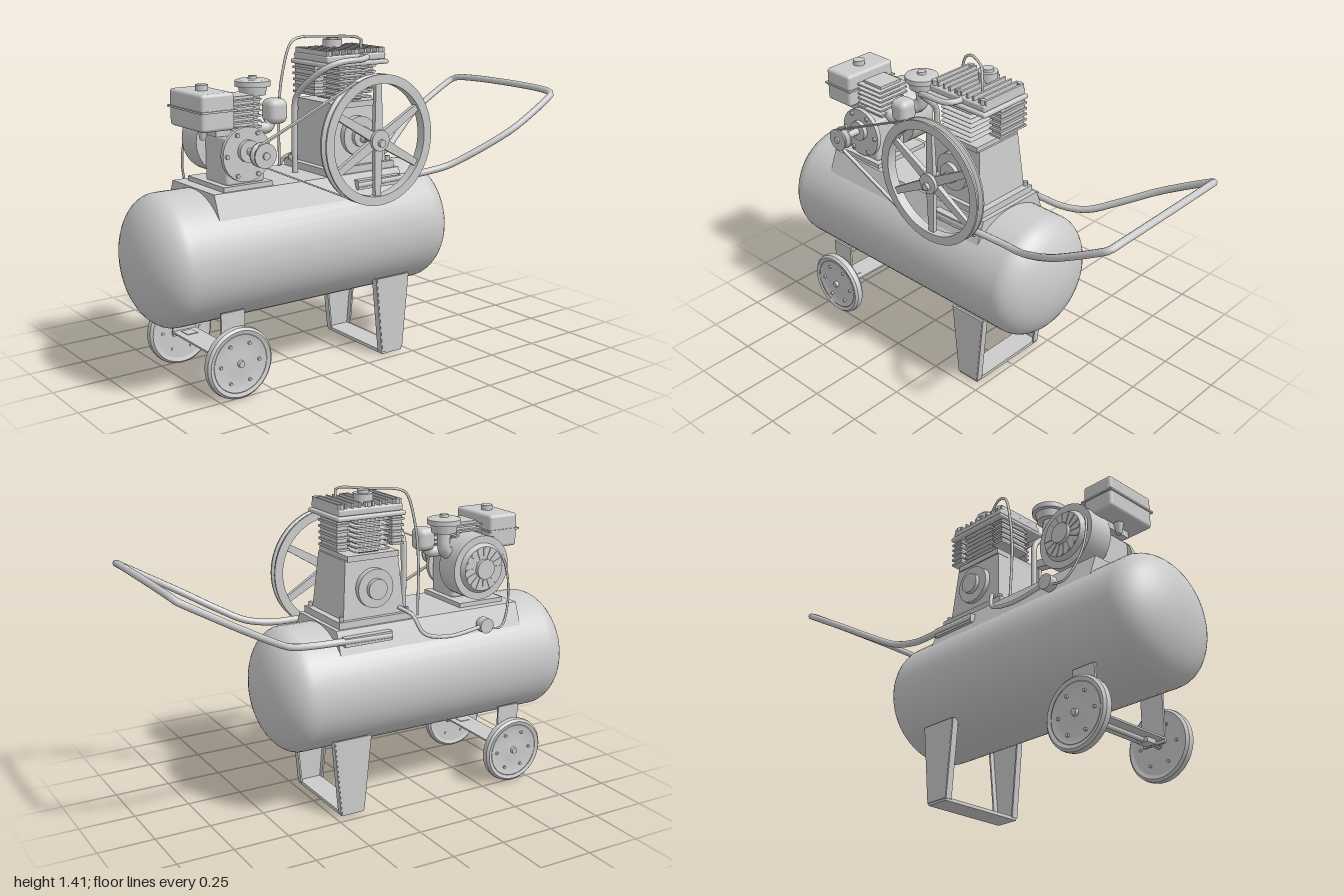
import * as THREE from 'three';
import { toCreasedNormals } from 'three/addons/utils/BufferGeometryUtils.js';
import { RoundedBoxGeometry } from 'three/addons/geometries/RoundedBoxGeometry.js';

const mat = new THREE.MeshStandardMaterial({ color: 0xcccccc, side: THREE.DoubleSide });
const V = (p) => new THREE.Vector3(...p);

function add(parent, name, geo, x = 0, y = 0, z = 0) {
  const m = new THREE.Mesh(geo, mat);
  m.name = name;
  m.position.set(x, y, z);
  parent.add(m);
  return m;
}
function group(parent, name, x = 0, y = 0, z = 0) {
  const g = new THREE.Group();
  g.name = name;
  g.position.set(x, y, z);
  parent.add(g);
  return g;
}
// Box given by its limits on each axis
function box(parent, name, [x0, x1], [y0, y1], [z0, z1], round = 0) {
  const s = [x1 - x0, y1 - y0, z1 - z0];
  const geo = round ? new RoundedBoxGeometry(...s, 3, round) : new THREE.BoxGeometry(...s);
  return add(parent, name, geo, (x0 + x1) / 2, (y0 + y1) / 2, (z0 + z1) / 2);
}
// Turn a geometry made along y so that it runs along the given axis
function along(geo, axis) {
  if (axis === 'x') geo.rotateZ(-Math.PI / 2);
  if (axis === 'z') geo.rotateX(Math.PI / 2);
  return geo;
}
const cyl = (parent, name, axis, r, len, x, y, z, r2 = r, n = 32) =>
  add(parent, name, along(new THREE.CylinderGeometry(r2, r, len, n), axis), x, y, z);
const lathe = (pts, axis, n = 40) =>
  toCreasedNormals(along(new THREE.LatheGeometry(pts.map((p) => new THREE.Vector2(...p)), n), axis), 0.6);
function tube(parent, name, pts, r, seg = 48) {
  const curve = new THREE.CatmullRomCurve3(pts.map(V), false, 'centripetal');
  return add(parent, name, new THREE.TubeGeometry(curve, seg, r, 10));
}
// Flat plate outlined in (z, y), with its thickness along x
function plate(parent, name, pts, t, x) {
  const shape = new THREE.Shape(pts.map((p) => new THREE.Vector2(...p)));
  const geo = new THREE.ExtrudeGeometry(shape, { depth: t, bevelEnabled: false });
  return add(parent, name, geo.translate(0, 0, -t / 2).rotateY(-Math.PI / 2), x);
}
// Box whose top is narrower than its bottom
function taperedBox(parent, name, w, h, d, kx, kz, x, y, z) {
  const geo = new THREE.BoxGeometry(w, h, d);
  const p = geo.attributes.position;
  for (let i = 0; i < p.count; i++)
    if (p.getY(i) > 0) p.setXYZ(i, p.getX(i) * kx, p.getY(i), p.getZ(i) * kz);
  geo.computeVertexNormals();
  return add(parent, name, geo, x, y, z);
}

function buildTank(root) {
  const g = group(root, 'airTank', 0, 0.563, 0);
  const pts = [];
  for (let i = 0; i <= 12; i++) {
    const a = (i / 12) * Math.PI / 2;
    pts.push([0.277 * Math.sin(a), -0.36 - 0.15 * Math.cos(a)]);
  }
  for (let i = 12; i >= 0; i--) {
    const a = (i / 12) * Math.PI / 2;
    pts.push([0.277 * Math.sin(a), 0.85 + 0.15 * Math.cos(a)]);
  }
  add(g, 'tankShell', lathe(pts, 'z', 48));
  // Saddle deck
  const shape = new THREE.Shape([[-0.21, 0.74], [0.21, 0.74], [0.17, 0.845], [-0.17, 0.845]].map((p) => new THREE.Vector2(...p)));
  add(root, 'deck', new THREE.ExtrudeGeometry(shape, { depth: 0.93, bevelEnabled: false }), 0, 0, -0.22);
}

function buildUndercarriage(root) {
  const rear = group(root, 'rearLeg');
  const front = group(root, 'axleBracket');
  for (const s of [-1, 1]) {
    plate(rear, 'legPlate', [[-0.25, 0.365], [-0.218, 0.02], [-0.11, 0.02], [-0.075, 0.365]], 0.01, s * 0.205);
    // Folded leg edges
    for (const [za, zb] of [[-0.25, -0.218], [-0.075, -0.11]]) {
      const f = box(rear, 'legFlange', [-0.015, 0.015], [-0.173, 0.173], [-0.004, 0.004]);
      f.position.set(s * 0.193, 0.192, (za + zb) / 2);
      f.rotation.x = Math.atan2(za - zb, 0.345);
    }
    box(front, 'bracketPlate', [s * 0.205 - 0.005, s * 0.205 + 0.005], [0.15, 0.365], [0.605, 0.715]);
    box(front, 'axleClamp', [s * 0.155 - 0.027, s * 0.155 + 0.027], [0.145, 0.175], [0.635, 0.685]);
    // Wheel: tyre, dished disc, hub and bolts
    const w = group(root, s > 0 ? 'leftWheel' : 'rightWheel', s * 0.245, 0.16, 0.66);
    if (s < 0) w.rotation.y = Math.PI;
    add(w, 'tyre', lathe([[0.124, -0.018], [0.14, -0.023], [0.15, -0.013], [0.152, 0], [0.15, 0.013], [0.14, 0.023], [0.124, 0.018]], 'x'));
    add(w, 'disc', lathe([[0, -0.012], [0.127, -0.016], [0.13, 0.012], [0.122, 0.018], [0.09, 0.01], [0.04, 0.014], [0, 0.016]], 'x'));
    cyl(w, 'hub', 'x', 0.018, 0.05, 0.005, 0, 0, 0.013, 20);
    for (let i = 0; i < 6; i++) {
      const a = i * Math.PI / 3;
      cyl(w, 'wheelBolt', 'x', 0.007, 0.04, 0, 0.09 * Math.sin(a), 0.09 * Math.cos(a), 0.007, 8);
    }
  }
  box(rear, 'footBar', [-0.205, 0.205], [0.01, 0.025], [-0.218, -0.11]);
  box(front, 'crossPlate', [-0.205, 0.205], [0.164, 0.172], [0.605, 0.715]);
  cyl(front, 'axle', 'x', 0.01, 0.48, 0, 0.158, 0.66, 0.01, 12);
}

function buildHandle(root) {
  const half = [[0.2, 0.8, 0.03], [0.2, 0.805, -0.2], [0.2, 0.81, -0.35], [0.225, 0.83, -0.46], [0.275, 0.885, -0.57],
    [0.33, 0.96, -0.7], [0.345, 1.0, -0.77], [0.345, 1.1, -0.945], [0.335, 1.12, -0.98], [0.305, 1.13, -0.99]];
  const pts = [...half, ...half.map(([x, y, z]) => [-x, y, z]).reverse()];
  tube(root, 'handle', pts, 0.015, 160);
  for (const s of [-1, 1]) box(root, 'handleMount', [s * 0.195 - 0.015, s * 0.195 + 0.015], [0.78, 0.82], [-0.2, 0.03]);
}

function buildPump(root) {
  const g = group(root, 'compressorPump');
  box(g, 'pumpBase', [-0.16, 0.16], [0.845, 0.875], [-0.2, 0.16]);
  taperedBox(g, 'crankcase', 0.28, 0.25, 0.3, 0.85, 0.86, 0, 1.0, -0.02);
  box(g, 'crankcaseTop', [-0.125, 0.125], [1.12, 1.145], [-0.14, 0.11]);
  for (const s of [-1, 1]) {
    cyl(g, 'bearingCover', 'x', 0.085, 0.03, s * 0.14, 1.0, -0.02);
    cyl(g, 'bearingBoss', 'x', 0.045, 0.04, s * 0.155, 1.0, -0.02);
    for (const z of [-0.18, 0.14]) cyl(g, 'baseBolt', 'y', 0.011, 0.02, s * 0.14, 0.885, z, 0.011, 6);
  }
  // Finned cylinder block
  box(g, 'cylinderBlock', [-0.1, 0.1], [1.14, 1.3], [-0.08, 0.04], 0.02);
  for (let i = 0; i < 7; i++) {
    const y = 1.155 + i * 0.021;
    box(g, 'cylinderFin', [-0.125, 0.125], [y, y + 0.009], [-0.105, 0.065], 0.004);
  }
  // Cylinder head with cooling ribs
  box(g, 'headPlate', [-0.135, 0.135], [1.295, 1.315], [-0.19, 0.14], 0.008);
  box(g, 'cylinderHead', [-0.125, 0.125], [1.315, 1.345], [-0.18, 0.13], 0.008);
  for (let i = 0; i < 10; i++) {
    const z = -0.175 + i * 0.033;
    box(g, 'headRib', [-0.115, 0.115], [1.34, 1.365], [z - 0.005, z + 0.005]);
  }
  for (const x of [-0.11, 0.11]) for (const z of [-0.16, -0.03, 0.11]) cyl(g, 'headBolt', 'y', 0.012, 0.04, x, 1.345, z, 0.012, 6);
  // Slatted intake filters at front and rear
  for (const [z0, z1] of [[0.075, 0.135], [-0.19, -0.13]]) {
    box(g, 'intakeFilter', [-0.115, 0.03], [1.17, 1.295], [z0 + 0.006, z1 - 0.006]);
    for (let i = 0; i < 5; i++) box(g, 'filterSlat', [-0.125, 0.04], [1.17 + i * 0.026, 1.18 + i * 0.026], [z0, z1]);
  }
  cyl(g, 'valveCap', 'y', 0.042, 0.04, -0.06, 1.375, -0.03);
  cyl(g, 'valveKnob', 'y', 0.025, 0.018, -0.06, 1.4, -0.03);
  // Pipes
  tube(g, 'unloaderPipe', [[0.05, 1.36, -0.1], [0.05, 1.4, -0.1], [0.03, 1.408, -0.08], [-0.05, 1.408, 0.0], [-0.11, 1.405, 0.11],
    [-0.115, 1.385, 0.15], [-0.125, 1.25, 0.19], [-0.13, 1.1, 0.205], [-0.14, 0.85, 0.2]], 0.006);
  tube(g, 'dischargePipe', [[0.1, 1.33, -0.05], [0.165, 1.335, -0.045], [0.183, 1.33, -0.01], [0.18, 1.325, 0.09],
    [0.15, 1.3, 0.155], [0.08, 1.24, 0.195], [0.01, 1.17, 0.21], [0, 1.08, 0.212], [0, 0.84, 0.212]], 0.013);
}

function buildDrive(root) {
  // Spoked flywheel
  const g = group(root, 'flywheel', 0.272, 1.0, -0.02);
  add(g, 'rim', lathe([[0.238, -0.022], [0.277, -0.022], [0.277, -0.014], [0.262, -0.005], [0.262, 0.005], [0.277, 0.014],
    [0.277, 0.022], [0.238, 0.022], [0.238, -0.022]], 'x', 64));
  for (let i = 0; i < 6; i++) {
    const arm = group(g, 'spokeArm');
    arm.rotation.x = i * Math.PI / 3;
    taperedBox(arm, 'spoke', 0.022, 0.22, 0.042, 0.8, 0.7, 0, 0.135, 0);
  }
  cyl(g, 'hub', 'x', 0.045, 0.05, 0, 0, 0);
  cyl(root, 'pumpShaft', 'x', 0.016, 0.2, 0.212, 0.99, -0.02);
  // Engine pulley
  add(root, 'enginePulley', lathe([[0, -0.02], [0.05, -0.02], [0.05, -0.014], [0.038, 0], [0.05, 0.014], [0.05, 0.02], [0, 0.02]], 'x'), 0.272, 1.0, 0.545);
  cyl(root, 'engineShaft', 'x', 0.015, 0.17, 0.215, 1.0, 0.545);
  // Belt runs, tangent to both pulleys
  for (const s of [-1, 1]) {
    const b = box(root, 'beltRun', [-0.009, 0.009], [-0.003, 0.003], [-0.26, 0.26]);
    b.position.set(0.272, 1 + s * 0.143, 0.326);
    b.rotation.x = s * 0.42;
  }
}

function buildEngine(root) {
  const g = group(root, 'engine');
  box(g, 'engineBase', [-0.13, 0.16], [0.845, 0.865], [0.43, 0.66]);
  box(g, 'engineBlock', [-0.03, 0.14], [0.86, 1.06], [0.455, 0.635], 0.015);
  cyl(g, 'sideCover', 'x', 0.112, 0.02, 0.145, 0.985, 0.545);
  cyl(g, 'shaftBoss', 'x', 0.045, 0.03, 0.16, 1.0, 0.545);
  for (let i = 0; i < 6; i++) {
    const a = i * Math.PI / 3;
    cyl(g, 'coverBolt', 'x', 0.009, 0.014, 0.158, 0.985 + 0.095 * Math.sin(a), 0.545 + 0.095 * Math.cos(a), 0.009, 6);
  }
  // Fan housing with recoil starter and cooling slots
  cyl(g, 'fanHousing', 'x', 0.145, 0.12, -0.085, 1.02, 0.53, 0.145, 40);
  cyl(g, 'recoilCover', 'x', 0.1, 0.03, -0.15, 1.02, 0.53, 0.12);
  cyl(g, 'recoilHub', 'x', 0.045, 0.025, -0.17, 1.02, 0.53);
  for (let i = 0; i < 16; i++) {
    const arm = group(g, 'coolingRib', -0.16, 1.02, 0.53);
    arm.rotation.x = i * Math.PI / 8;
    box(arm, 'rib', [-0.008, 0.01], [0.05, 0.095], [-0.006, 0.006]);
  }
  // Finned cylinder
  box(g, 'engineCylinder', [-0.03, 0.09], [1.05, 1.21], [0.47, 0.58]);
  for (let i = 0; i < 6; i++) box(g, 'engineFin', [-0.05, 0.115], [1.08 + i * 0.022, 1.088 + i * 0.022], [0.45, 0.595]);
  // Fuel tank with seam, cap and tap
  box(g, 'fuelTank', [-0.105, 0.16], [1.09, 1.24], [0.6, 0.75], 0.015);
  box(g, 'fuelTankSeam', [-0.11, 0.165], [1.165, 1.173], [0.592, 0.757]);
  cyl(g, 'fuelCap', 'y', 0.026, 0.025, 0.03, 1.25, 0.675);
  cyl(g, 'fuelTap', 'y', 0.012, 0.05, 0.03, 1.065, 0.675, 0.022, 16);
  box(g, 'tankBracket', [-0.06, 0.11], [1.06, 1.09], [0.56, 0.66]);
  // Air cleaner on its intake elbow
  add(g, 'airCleaner', lathe([[0, 0], [0.055, 0], [0.06, 0.035], [0.075, 0.037], [0.075, 0.06], [0.06, 0.066], [0.02, 0.068], [0.018, 0.08], [0, 0.08]], 'y'), -0.07, 1.185, 0.375);
  tube(g, 'intakeElbow', [[-0.07, 1.19, 0.375], [-0.07, 1.11, 0.38], [-0.05, 1.08, 0.42], [-0.02, 1.08, 0.48]], 0.03);
  // Muffler
  box(g, 'muffler', [0.02, 0.11], [1.08, 1.185], [0.31, 0.4], 0.03);
  tube(g, 'exhaustElbow', [[0.065, 1.11, 0.37], [0.065, 1.07, 0.39], [0.06, 1.07, 0.44], [0.05, 1.09, 0.49]], 0.025);
}

function buildControls(root) {
  const g = group(root, 'pressureControls');
  cyl(g, 'gauge', 'x', 0.034, 0.04, -0.225, 0.78, 0.5);
  tube(g, 'throttleCable', [[-0.12, 1.15, 0.6], [-0.155, 1.02, 0.655], [-0.19, 0.87, 0.65], [-0.225, 0.76, 0.59], [-0.225, 0.77, 0.5]], 0.005);
  tube(g, 'airHose', [[-0.14, 0.9, 0.1], [-0.19, 0.87, 0.14], [-0.225, 0.79, 0.18], [-0.232, 0.76, 0.3], [-0.228, 0.78, 0.5]], 0.009);
}

export function createModel() {
  const root = new THREE.Group();
  root.name = 'airCompressor';
  for (const build of [buildTank, buildUndercarriage, buildHandle, buildPump, buildDrive, buildEngine, buildControls]) build(root);
  return root;
}
